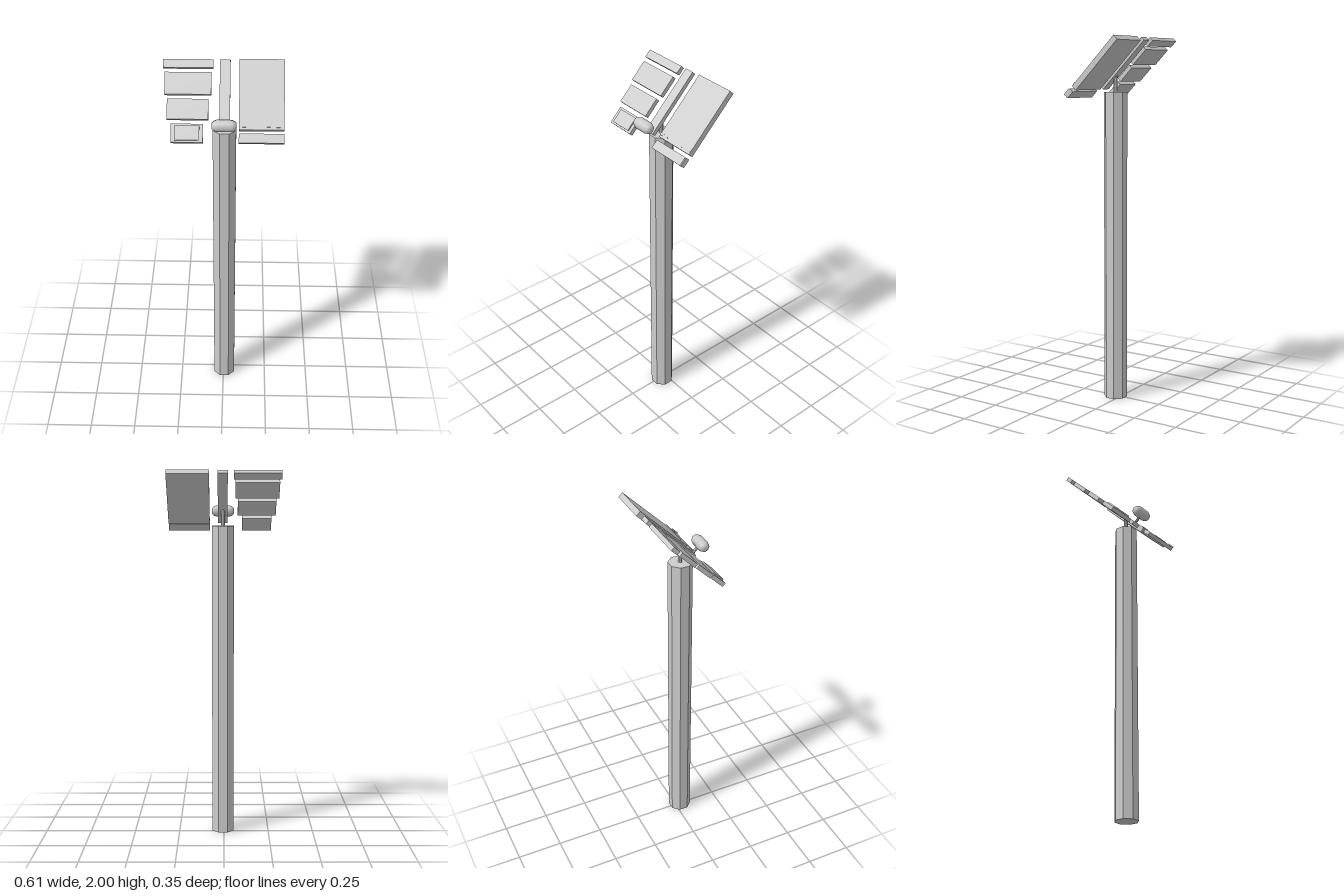
import * as THREE from 'three';
import { toCreasedNormals } from 'three/addons/utils/BufferGeometryUtils.js';

export function createModel() {
  const model = new THREE.Group();
  model.name = 'slantedPanelPost';
  const grey = new THREE.MeshStandardMaterial({ color: 0xcccccc });
  const AXIS = 0.0055; // shared x centre of pole, bar and knob
  const S = Math.SQRT2;

  const add = (parent, name, geometry, x = 0, y = 0, z = 0) => {
    const mesh = new THREE.Mesh(geometry, grey);
    mesh.name = name;
    mesh.position.set(x, y, z);
    parent.add(mesh);
    return mesh;
  };

  // Octagonal pole and the thin post that carries the panels
  const pole = new THREE.CylinderGeometry(0.0645, 0.0645, 1.71, 8);
  pole.rotateY(Math.PI / 8);
  add(model, 'pole', toCreasedNormals(pole, 0.5), AXIS, 0.855, 0.029);
  add(model, 'post', toCreasedNormals(new THREE.CylinderGeometry(0.011, 0.011, 0.1, 8), 0.5), AXIS, 1.755, 0.029);

  // Board tilted 45 degrees: local y = 0 is the upper face, local z runs down the slope
  const board = new THREE.Group();
  board.name = 'tiltedBoard';
  board.position.y = 1.848;
  board.rotation.x = Math.PI / 4;
  model.add(board);

  // Slab given by its x range, its plan z range and its thickness
  const slab = (name, x0, x1, z0, z1, t) => {
    const w0 = z0 * S + t, w1 = z1 * S;
    add(board, name, new THREE.BoxGeometry(x1 - x0, t, w1 - w0), (x0 + x1) / 2, -t / 2, (w0 + w1) / 2);
  };
  const T = 0.023;
  slab('topBar', -0.305, -0.053, -0.167, -0.12, T);
  slab('upperPlate', -0.296, -0.062, -0.12, -0.023, T);
  slab('middlePlate', -0.282, -0.075, -0.023, 0.067, T);
  slab('lowerPlate', -0.26, -0.1, 0.067, 0.15, T);
  slab('centreBar', -0.02, 0.033, -0.167, 0.108, T);
  slab('largePanel', 0.078, 0.304, -0.175, 0.103, 0.031);
  slab('bottomBar', 0.078, 0.304, 0.1, 0.15, T);

  // Thin raised details
  add(board, 'raisedInset', new THREE.BoxGeometry(0.122, 0.007, 0.075), -0.179, 0.0035, 0.165);
  add(board, 'cornerTab', new THREE.BoxGeometry(0.007, 0.008, 0.044), 0.3005, 0.002, 0.192);
  const sliver = (name, wide, tip) => {
    const shape = new THREE.Shape([
      new THREE.Vector2(wide, 0.122), new THREE.Vector2(tip, 0.128),
      new THREE.Vector2(tip, 0.131), new THREE.Vector2(wide, 0.135),
    ]);
    const geometry = new THREE.ExtrudeGeometry(shape, { depth: 0.004, bevelEnabled: false });
    geometry.rotateX(Math.PI / 2);
    add(board, name, geometry, 0, 0.004, 0);
  };
  sliver('innerSliver', 0.078, 0.133);
  sliver('outerSliver', 0.304, 0.207);

  // Stem and rounded barrel knob
  add(board, 'knobStem', toCreasedNormals(new THREE.CylinderGeometry(0.008, 0.008, 0.05, 8), 0.5), AXIS, 0.025, 0.144);
  const half = [[0, 0.061], [0.015, 0.061], [0.025, 0.052], [0.031, 0.036]];
  const profile = [
    ...half.map(([r, h]) => new THREE.Vector2(r, -h)),
    ...half.slice().reverse().map(([r, h]) => new THREE.Vector2(r, h)),
  ];
  const knob = new THREE.LatheGeometry(profile, 8);
  knob.rotateZ(Math.PI / 2);
  add(model, 'knob', knob, AXIS, 1.79, 0.142);

  return model;
}
